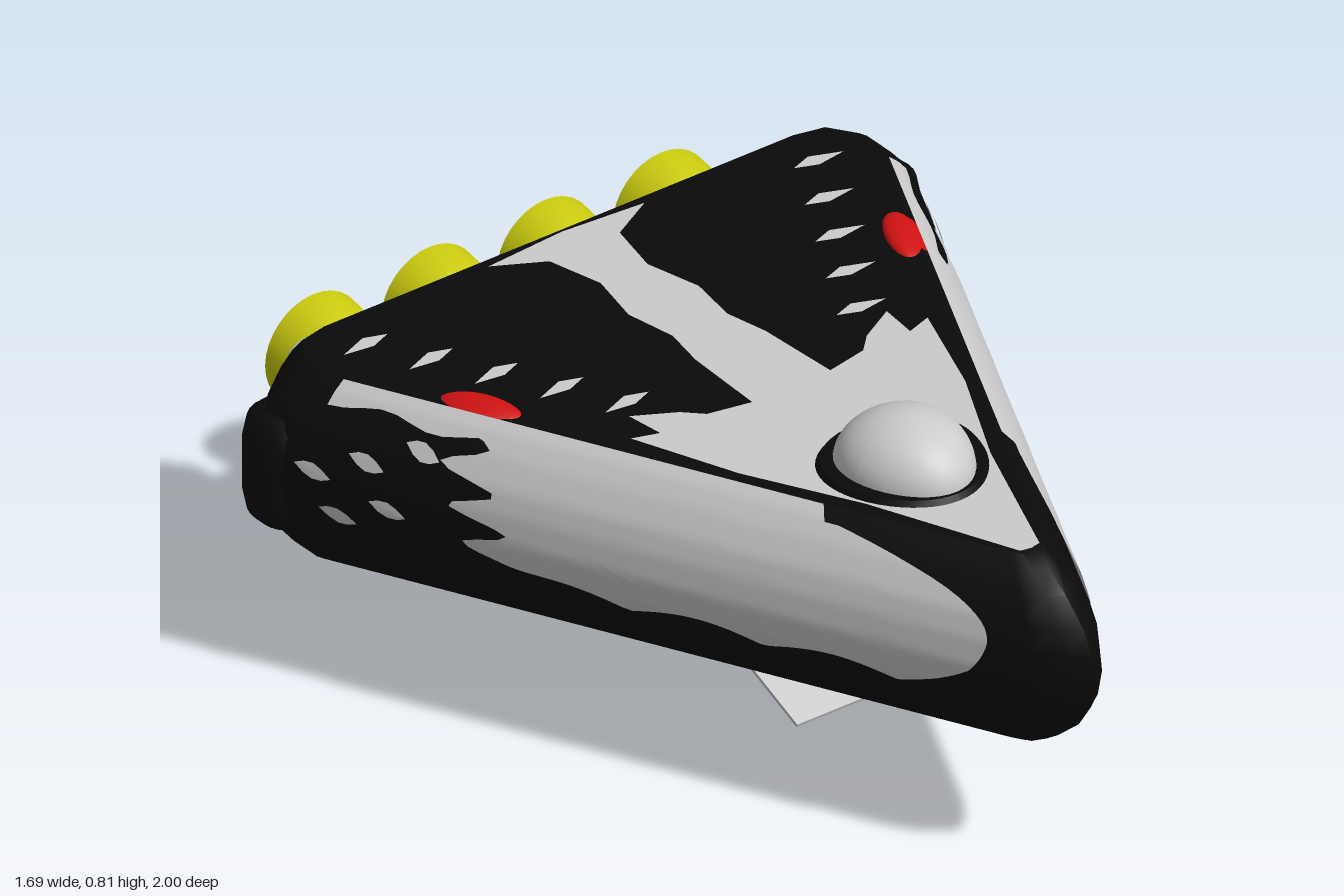
import * as THREE from 'three';
import { toCreasedNormals } from 'three/addons/utils/BufferGeometryUtils.js';

const mat = (color) => new THREE.MeshStandardMaterial({ color, side: THREE.DoubleSide });
const lerp = THREE.MathUtils.lerp;

// Hull section: height and how far the wall leans in (0 = widest, 1 = deck edge)
const SECTION = [[0.25, 1], [0.265, 0.8], [0.29, 0.62], [0.35, 0.27], [0.41, 0.07], [0.47, 0],
  [0.53, 0.05], [0.58, 0.18], [0.635, 0.48], [0.67, 0.76], [0.69, 1]];
// Half plan, nose to stern: x, z at the widest level, then x, z at the deck edge
const PLAN = [[0, 1, 0, 0.8], [0.045, 0.965, 0.025, 0.795], [0.09, 0.9, 0.04, 0.77], [0.82, -0.62, 0.71, -0.62],
  [0.82, -0.72, 0.71, -0.69], [0.75, -0.78, 0.67, -0.75], [0.6, -0.785, 0.6, -0.765]];

function lean(y) {
  for (let i = 1; i < SECTION.length; i++) {
    const [y0, a] = SECTION[i - 1], [y1, b] = SECTION[i];
    if (y <= y1) return lerp(a, b, (y - y0) / (y1 - y0));
  }
  return 1;
}

// Grid surface from a rule point(u, v), u and v in 0..1
function grid(nu, nv, point) {
  const pos = [], idx = [];
  for (let j = 0; j <= nv; j++) for (let i = 0; i <= nu; i++) pos.push(...point(i / nu, j / nv));
  for (let j = 0; j < nv; j++) for (let i = 0; i < nu; i++) {
    const a = j * (nu + 1) + i, b = a + 1, c = a + nu + 1, d = c + 1;
    idx.push(a, b, d, a, d, c);
  }
  const g = new THREE.BufferGeometry();
  g.setAttribute('position', new THREE.Float32BufferAttribute(pos, 3));
  g.setIndex(idx);
  g.computeVertexNormals();
  return g;
}

// Closed hull: stacked outline loops with a fan on top and bottom
function hullGeometry() {
  const loop = [...PLAN, ...PLAN.slice(1).reverse().map(([x, z, X, Z]) => [-x, z, -X, Z])];
  const n = loop.length, pos = [], idx = [];
  for (const [y, d] of SECTION) for (const [x, z, X, Z] of loop) pos.push(lerp(x, X, d), y, lerp(z, Z, d));
  for (let j = 0; j < SECTION.length - 1; j++) for (let i = 0; i < n; i++) {
    const a = j * n + i, b = j * n + (i + 1) % n;
    idx.push(a, b, b + n, a, b + n, a + n);
  }
  const bottom = pos.length / 3, last = (SECTION.length - 1) * n;
  pos.push(0, 0.25, 0, 0, 0.69, 0);
  for (let i = 0; i < n; i++) {
    const k = (i + 1) % n;
    idx.push(bottom, k, i, bottom + 1, last + i, last + k);
  }
  const g = new THREE.BufferGeometry();
  g.setAttribute('position', new THREE.Float32BufferAttribute(pos, 3));
  g.setIndex(idx);
  return toCreasedNormals(g, 0.6);
}

// Point on the long flank, t from nose to stern, lifted slightly off the hull
function flank(s, t, y, lift = 0.006) {
  const a = PLAN[2], b = PLAN[3], d = lean(y);
  const x = lerp(lerp(a[0], b[0], t), lerp(a[2], b[2], t), d);
  const z = lerp(lerp(a[1], b[1], t), lerp(a[3], b[3], t), d);
  return [s * (x + 0.9 * lift), y + (y > 0.5 ? lift * d : 0), z + 0.43 * lift];
}

export function createModel() {
  const root = new THREE.Group();
  const grey = mat(0xcccccc), black = mat(0x0a0a0a), blue = mat(0x1212c0);
  const yellow = mat(0xcccc10), red = mat(0xd01212), green = mat(0x10b018);
  const add = (name, geo, m, parent = root, x = 0, y = 0, z = 0) => {
    const mesh = new THREE.Mesh(geo, m);
    mesh.name = name;
    mesh.position.set(x, y, z);
    parent.add(mesh);
    return mesh;
  };
  // Flat plate from plan points (x, z)
  const plate = (name, pts, y, m, s = 1) => {
    const shape = new THREE.Shape(pts.map(([x, z]) => new THREE.Vector2(s * x, -z)));
    add(name, new THREE.ShapeGeometry(shape).rotateX(-Math.PI / 2), m, root, 0, y, 0);
  };

  add('hull', hullGeometry(), black);

  for (const s of [1, -1]) {
    // Pale flank panel with a scalloped lower edge and a ragged stern end
    add('flankPanel', grid(48, 20, (u, v) => {
      const start = 0.03 + 0.22 * v ** 4 + 0.05 * (1 - v) ** 2;
      const end = 0.72 + 0.06 * v + 0.035 * Math.sin(v * 19);
      const low = 0.375 + 0.028 * Math.abs(Math.cos(u * 11)) + 0.05 * (2 * u - 1) ** 8;
      return flank(s, lerp(start, end, u), lerp(low, 0.665, v));
    }), grey);
    // Pale rim along the deck edge
    add('deckRim', grid(30, 6, (u, v) =>
      flank(s, lerp(0.27, 0.97, u), lerp(0.635 + 0.02 * u + 0.008 * Math.sin(u * 30), 0.688, v))), grey);
    // Streaks of worn paint toward the stern
    for (let i = 0; i < 5; i++) {
      const t = 0.8 + 0.034 * i, y = 0.6 - 0.045 * ((i * 3) % 5);
      add('flankStreak', grid(4, 3, (u, v) =>
        flank(s, t + 0.05 * u, y + (v - 0.5) * 0.035 * Math.sin(Math.PI * u) + 0.02 * u)), grey);
    }
    for (let i = 0; i < 5; i++) {
      const x = 0.24 + 0.07 * i, z = -0.16 - 0.125 * i;
      plate('deckStreak', [[x, z], [x + 0.05, z - 0.018], [x + 0.12, z + 0.01], [x + 0.05, z + 0.02]], 0.693, grey, s);
    }
    // Half of the pale deck: nose area and central spine
    plate('deckPanel', [[0, 0.79], [0.025, 0.785], [0.035, 0.76], [0.16, 0.45], [0.29, 0.2], [0.38, -0.04], [0.32, -0.02],
      [0.33, -0.11], [0.24, -0.06], [0.2, -0.02], [0.1, 0], [0.09, -0.2], [0.07, -0.3], [0.09, -0.42], [0.06, -0.55],
      [0.09, -0.68], [0.2, -0.74], [0, -0.755]], 0.693, grey, s);

    // Rounded bumper on the stern corner
    const bumper = [[0, 0.33], [0.06, 0.335], [0.085, 0.36], [0.095, 0.41], [0.095, 0.52], [0.085, 0.57], [0.06, 0.592], [0, 0.6]];
    add('cornerBumper', new THREE.LatheGeometry(bumper.map((p) => new THREE.Vector2(...p)), 24), black, root, s * 0.75, 0, -0.69);

    // Red running light lying along the deck edge
    const light = add('runningLight', new THREE.SphereGeometry(1, 24, 16), red, root, s * 0.545, 0.68, -0.325);
    light.scale.set(0.045, 0.022, 0.098);
    light.rotation.set(0, -s * 0.45, -s * 0.3, 'YXZ');
  }

  // Canopy: egg-shaped dome in a dark collar, narrower toward the nose
  const egg = (geo, w, l) => {
    const p = geo.attributes.position;
    for (let i = 0; i < p.count; i++) {
      const z = p.getZ(i);
      p.setXYZ(i, p.getX(i) * w * (1 - 0.14 * z), p.getY(i), z * l);
    }
    geo.computeVertexNormals();
    return geo;
  };
  add('canopyCollar', egg(new THREE.CylinderGeometry(0.94, 1, 0.016, 48), 0.178, 0.18), black, root, 0, 0.697, 0.38);
  add('canopy', egg(new THREE.SphereGeometry(1, 40, 16, 0, Math.PI * 2, 0, Math.PI / 2).scale(1, 0.115, 1), 0.138, 0.158),
    grey, root, 0, 0.697, 0.385);

  // Stern frame with grille bars
  const roundRect = (path, w, h, r) => {
    path.moveTo(-w + r, -h);
    path.lineTo(w - r, -h).quadraticCurveTo(w, -h, w, -h + r);
    path.lineTo(w, h - r).quadraticCurveTo(w, h, w - r, h);
    path.lineTo(-w + r, h).quadraticCurveTo(-w, h, -w, h - r);
    path.lineTo(-w, -h + r).quadraticCurveTo(-w, -h, -w + r, -h);
    return path;
  };
  const frame = roundRect(new THREE.Shape(), 0.635, 0.147, 0.04);
  frame.holes.push(roundRect(new THREE.Path(), 0.605, 0.117, 0.025));
  const frameGeo = new THREE.ExtrudeGeometry(frame, { depth: 0.03, bevelEnabled: true, bevelSize: 0.015, bevelThickness: 0.012, bevelSegments: 3 });
  add('sternFrame', frameGeo, grey, root, 0, 0.47, -0.825);
  add('sternPanel', new THREE.BoxGeometry(1.22, 0.25, 0.03), black, root, 0, 0.47, -0.795);
  for (let i = 0; i < 9; i++) add('grilleBar', new THREE.BoxGeometry(1.2, 0.009, 0.012), grey, root, 0, 0.37 + 0.025 * i, -0.815);

  // Four engine bells, open to the rear
  const bell = [[0, 0.02], [0.088, 0.02], [0.092, 0.06], [0.1, 0.064], [0.106, 0.075], [0.117, 0.13], [0.124, 0.185], [0.124, 0.19],
    [0.118, 0.19], [0.11, 0.13], [0.09, 0.075], [0.05, 0.06], [0, 0.06]].map((p) => new THREE.Vector2(...p));
  const bellGeo = toCreasedNormals(new THREE.LatheGeometry(bell, 32).rotateX(-Math.PI / 2), 0.5);
  for (const x of [-0.445, -0.148, 0.148, 0.445]) add('engineBell', bellGeo, yellow, root, x, 0.47, -0.81);

  // Belly plate, hatch and folding ramp
  plate('bellyPlate', [[0, 0.51], [0.06, 0.51], [0.55, -0.5], [0.55, -0.53], [-0.55, -0.53], [-0.55, -0.5], [-0.06, 0.51]], 0.242, black);
  plate('hatch', [[-0.11, 0.15], [0.11, 0.15], [0.11, -0.37], [-0.11, -0.37]], 0.238, grey);
  const rampPart = (z0, y0, z1, y1) => {
    const part = add('ramp', new THREE.BoxGeometry(0.22, 0.008, Math.hypot(z1 - z0, y1 - y0)), grey, root, 0, (y0 + y1) / 2, (z0 + z1) / 2);
    part.rotation.x = Math.atan2(y0 - y1, z1 - z0);
  };
  rampPart(-0.37, 0.24, -0.015, 0.084);
  rampPart(-0.015, 0.08, 0.16, 0.006);

  // Landing leg: blue turned strut on three clawed feet
  const gear = new THREE.Group();
  gear.name = 'landingGear';
  gear.position.set(0.53, 0, -0.65);
  root.add(gear);
  const strut = [[0, 0.07], [0.045, 0.07], [0.05, 0.08], [0.07, 0.083], [0.07, 0.1], [0.048, 0.108], [0.042, 0.125], [0.026, 0.13],
    [0.024, 0.175], [0.04, 0.182], [0.045, 0.205], [0.06, 0.215], [0.075, 0.23], [0.075, 0.255], [0, 0.255]];
  add('strut', toCreasedNormals(new THREE.LatheGeometry(strut.map((p) => new THREE.Vector2(...p)), 24), 0.5), blue, gear);
  const claw = new THREE.Shape([[0.045, 0.075], [0.09, 0.082], [0.125, 0.06], [0.128, 0.03], [0.142, 0], [0.172, 0], [0.17, 0.012],
    [0.152, 0.03], [0.15, 0.065], [0.138, 0.082], [0.098, 0.106], [0.045, 0.1]].map((p) => new THREE.Vector2(...p)));
  const clawGeo = new THREE.ExtrudeGeometry(claw, { depth: 0.034, bevelEnabled: false }).translate(0, 0, -0.017);
  for (let i = 0; i < 3; i++) add('foot', clawGeo, i === 1 ? green : grey, gear).rotation.y = (i * Math.PI * 2) / 3;

  return root;
}
